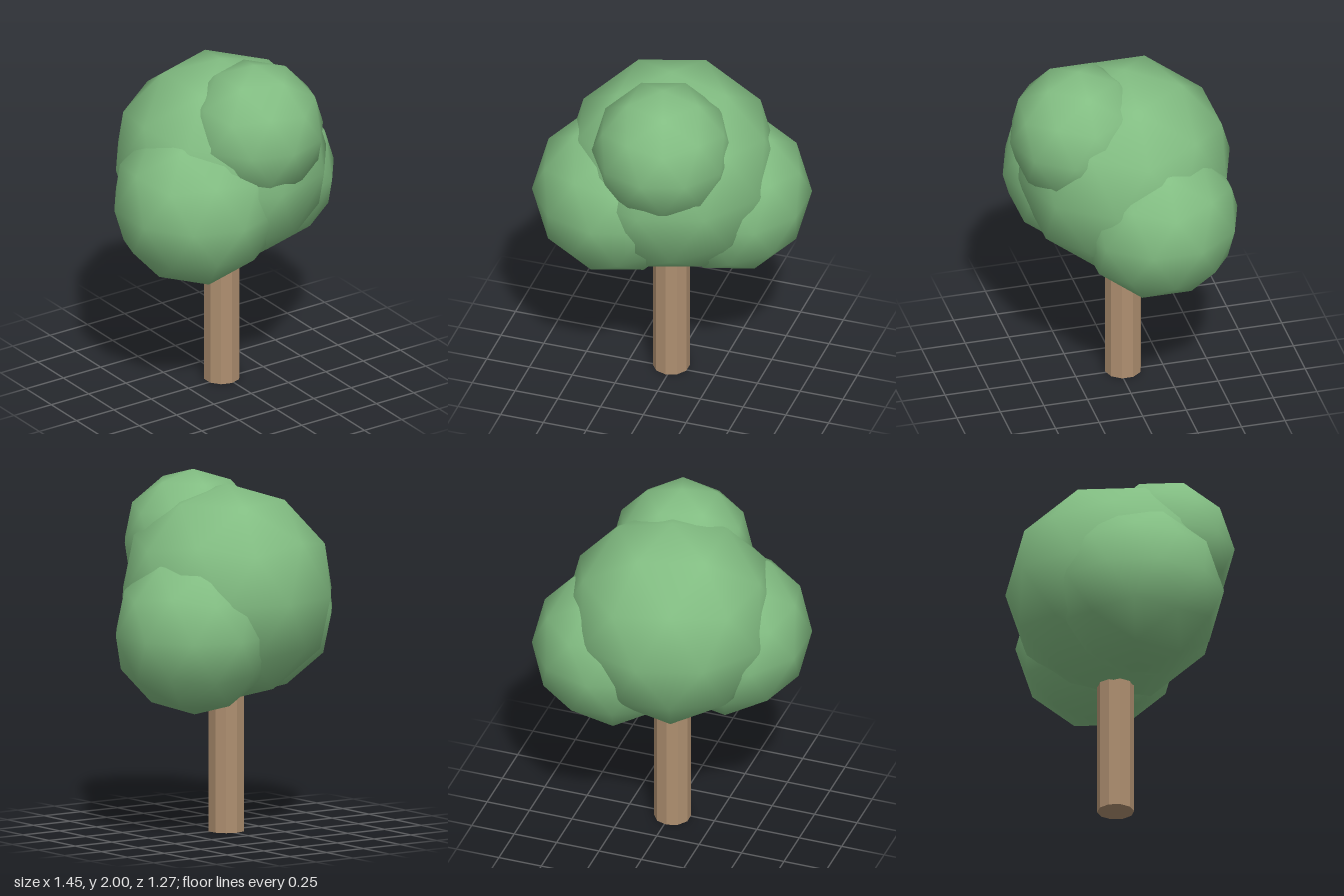
import * as THREE from 'three';

const leafGreen = new THREE.MeshStandardMaterial({ color: 0x82bd82 });
leafGreen.name = 'leafGreen';
const barkBrown = new THREE.MeshStandardMaterial({ color: 0xae8f70, flatShading: true });
barkBrown.name = 'barkBrown';

// Foliage clumps: name, radius, centre
const clumps = [
  ['mainCrown', 0.607, [-0.012, 1.34, -0.03]],
  ['frontTopClump', 0.397, [0.028, 1.603, 0.238]],
  ['rightClump', 0.475, [-0.278, 1.207, 0.12]],
  ['leftClump', 0.457, [0.289, 1.15, -0.143]],
];

export function createModel() {
  const tree = new THREE.Group();
  tree.name = 'tree';

  // Ten-sided trunk, its top hidden in the crown
  const trunk = new THREE.Mesh(new THREE.CylinderGeometry(0.103, 0.103, 1.0, 10), barkBrown);
  trunk.name = 'trunk';
  trunk.position.set(-0.012, 0.5, -0.024);
  tree.add(trunk);

  // Smooth 80-face ball with a corner at the top, shared by all clumps
  const ball = new THREE.IcosahedronGeometry(1, 1);
  ball.rotateZ(-Math.atan(2 / (1 + Math.sqrt(5))));

  for (const [name, radius, centre] of clumps) {
    const clump = new THREE.Mesh(ball, leafGreen);
    clump.name = name;
    clump.scale.setScalar(radius);
    clump.position.set(...centre);
    tree.add(clump);
  }
  return tree;
}
